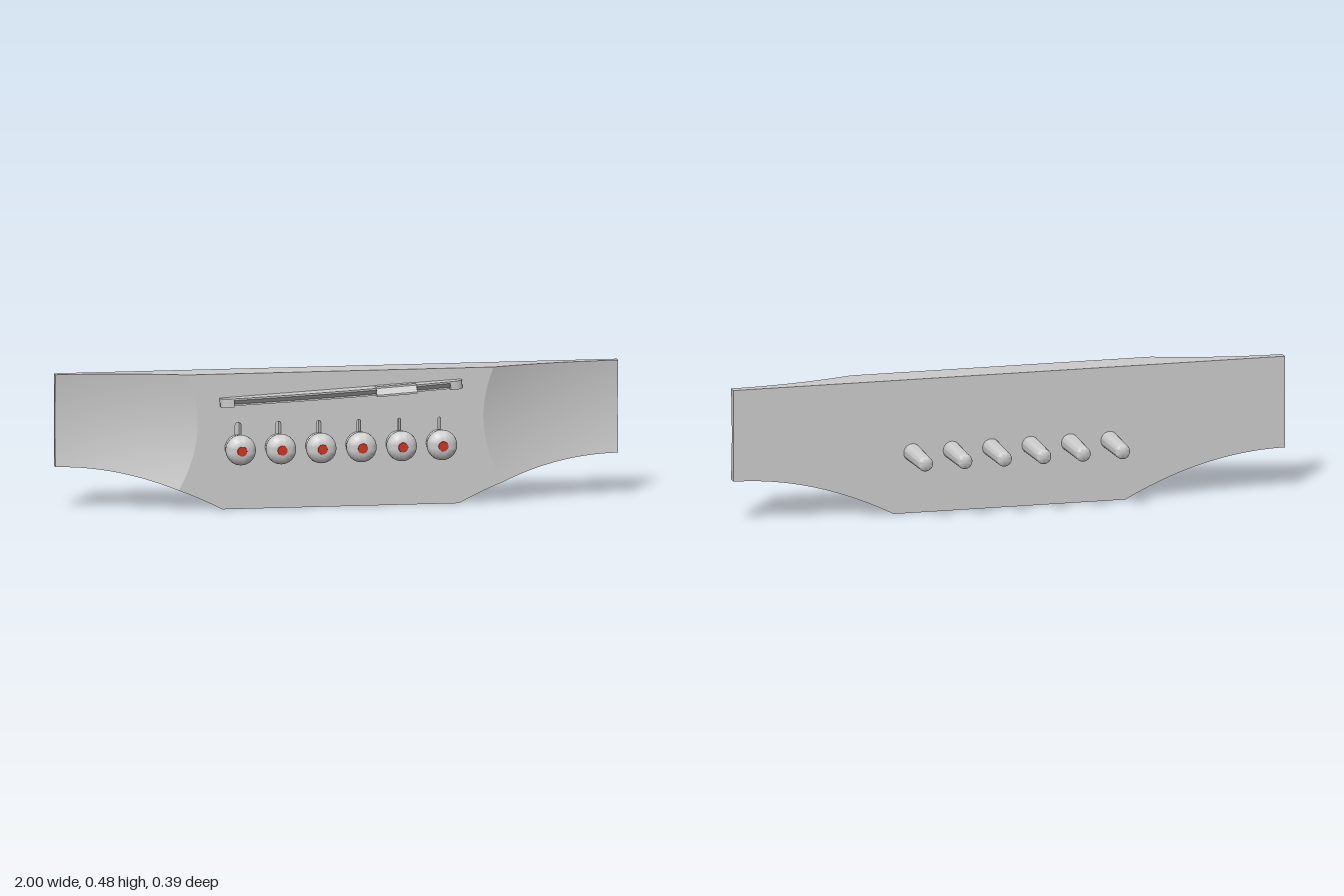
import * as THREE from 'three';
import { toCreasedNormals } from 'three/addons/utils/BufferGeometryUtils.js';

const FACE = 0.105, TOP = 0.483, ROWS = 14;
const grey = new THREE.MeshStandardMaterial({ color: 0xcccccc });
const red = new THREE.MeshStandardMaterial({ color: 0xd03020 });

function add(parent, name, geometry, material = grey) {
  const mesh = new THREE.Mesh(geometry, material);
  mesh.name = name;
  parent.add(mesh);
  return mesh;
}

// Skin over cross-sections ordered along +x; each runs up the front, then down the back.
function loft(rings, crease, skip = () => false) {
  const n = rings[0].length, index = [];
  const quad = (a, b, c, d) => index.push(a, b, c, a, c, d);
  for (let i = 0; i < rings.length - 1; i++) {
    for (let j = 0; j < n; j++) {
      if (skip(i, j)) continue;
      const k = (j + 1) % n, a = i * n, b = a + n;
      quad(a + j, b + j, b + k, a + k);
    }
  }
  const e = (rings.length - 1) * n;
  for (let j = 0; j < n / 2 - 1; j++) {
    quad(j, j + 1, n - 2 - j, n - 1 - j);
    quad(e + n - 1 - j, e + n - 2 - j, e + j + 1, e + j);
  }
  const g = new THREE.BufferGeometry();
  g.setAttribute('position', new THREE.Float32BufferAttribute(rings.flat(2), 3));
  g.setIndex(index);
  return toCreasedNormals(g, crease);
}

// Lower edge of the plate, and the curved line where the scooped wing begins
const lowerEdge = (x) => x <= 0.42 ? 0.003 : 0.155 - 0.152 * ((1 - x) / 0.58) ** 2;
const wingStart = (y) => 0.508 + 1.2 * (y - 0.31) ** 2;

// One plate section; s in 0..1 is the flat shoulder, 1..2 the scooped wing
function plateRing(s, side) {
  const front = [], back = [];
  for (let r = 0; r <= ROWS; r++) {
    const v = r / ROWS;
    let x = 0.42, y = 0;
    for (let k = 0; k < 10; k++) {
      y = THREE.MathUtils.lerp(lowerEdge(x), TOP, v);
      const w = wingStart(y);
      x = s <= 1 ? THREE.MathUtils.lerp(0.42, w, s) : THREE.MathUtils.lerp(w, 1, s - 1);
    }
    const tip = 0.014 + 0.4 * (y - 0.32) ** 2;
    const z = s <= 1 ? FACE : tip + (FACE - tip) * (2 - s) ** 2;
    front.push([side * x, y, z]);
    back.unshift([side * x, y, -0.012 + 0.008 * y]);
  }
  return [...front, ...back];
}

// Capsule outline of a string slot
function slotShape(x, halfWidth) {
  const s = new THREE.Shape();
  s.moveTo(x - halfWidth, 0.23);
  s.lineTo(x + halfWidth, 0.23);
  s.lineTo(x + halfWidth, 0.31 - halfWidth);
  s.absarc(x, 0.31 - halfWidth, halfWidth, 0, Math.PI, false);
  s.closePath();
  return s;
}

function buildPlate(slots) {
  const plate = new THREE.Group();
  plate.name = 'bridgePlate';
  const steps = [];
  for (let i = 0; i <= 4; i++) steps.push(i / 4);
  for (let i = 1; i <= 16; i++) steps.push(1 + i / 16);
  const rings = [
    ...[...steps].reverse().map((s) => plateRing(s, -1)),
    ...steps.map((s) => plateRing(s, 1)),
  ];
  const first = 16, last = rings.length - 17;
  add(plate, 'plateBody', loft(rings, 0.22, (i, j) => i >= first && i < last && j < ROWS));

  // Flat front face, cut through by the string slots
  const mid = rings.slice(first, last + 1);
  const outline = [
    ...mid.map((r) => r[0]),
    ...mid[mid.length - 1].slice(1, ROWS + 1),
    ...mid.slice(0, -1).reverse().map((r) => r[ROWS]),
    ...mid[0].slice(1, ROWS).reverse(),
  ];
  const face = new THREE.Shape(outline.map((p) => new THREE.Vector2(p[0], p[1])));
  face.holes.push(...slots);
  add(plate, 'plateFace', new THREE.ShapeGeometry(face, 6)).position.z = FACE;

  // Inward-facing pockets behind the slots
  for (const s of slots) {
    const g = new THREE.ExtrudeGeometry(s, { depth: 0.05, bevelEnabled: false, curveSegments: 6 });
    g.scale(1, 1, -1);
    g.computeVertexNormals();
    add(plate, 'stringSlot', g).position.z = FACE;
  }
  return plate;
}

// Tilted saddle: bevelled crest, one reversed section, rounded ends
function buildSaddle() {
  const saddle = new THREE.Group();
  saddle.name = 'saddle';
  const crest = (x) => 0.166 - 0.13 * x * x;
  const piece = (name, x0, x1, steps, half, low, high) => {
    const rings = [];
    for (let i = 0; i <= steps; i++) {
      const x = THREE.MathUtils.lerp(x0, x1, i / steps);
      const a = low(x), b = high(x), lip = half * 0.6;
      rings.push([
        [x, -half, 0.09], [x, -half, a], [x, -lip, a],
        [x, lip, b], [x, half, b], [x, half, 0.09],
      ]);
    }
    add(saddle, name, loft(rings, 0.3));
  };
  const dip = (x) => crest(x) - 0.028;
  const end = (x) => 0.122 + 0.024 * Math.sqrt(Math.max(0, 1 - ((Math.abs(x) - 0.385) / 0.045) ** 2));
  piece('saddleEnd', -0.43, -0.385, 8, 0.015, end, end);
  piece('saddleCrest', -0.385, 0.12, 14, 0.015, dip, crest);
  piece('saddleReversedCrest', 0.12, 0.265, 5, 0.016, crest, dip);
  piece('saddleCrest', 0.265, 0.385, 5, 0.015, dip, crest);
  piece('saddleEnd', 0.385, 0.43, 8, 0.015, end, end);
  saddle.position.y = 0.406;
  saddle.rotation.z = 0.053;
  return saddle;
}

// Turned pin: tapered shaft through the plate, collar, neck and ball head
function buildPin() {
  const pin = new THREE.Group();
  pin.name = 'bridgePin';
  const profile = [
    [0, -0.197], [0.021, -0.197], [0.025, -0.194], [0.0268, -0.188],
    [0.032, 0], [0.033, 0.1], [0.047, 0.1], [0.0475, 0.112], [0.045, 0.116],
    [0.038, 0.119], [0.0345, 0.125], [0.035, 0.131], [0.041, 0.134], [0.048, 0.139],
    [0.0525, 0.148], [0.0535, 0.16], [0.052, 0.172], [0.047, 0.182],
    [0.038, 0.189], [0.025, 0.1935], [0.012, 0.1955], [0, 0.196],
  ].map(([r, z]) => new THREE.Vector2(r, z));
  const turned = toCreasedNormals(new THREE.LatheGeometry(profile, 32).rotateX(Math.PI / 2), 0.75);
  add(pin, 'pinBody', turned);
  // Inlaid dot
  const dot = new THREE.CylinderGeometry(0.017, 0.018, 0.006, 24).rotateX(Math.PI / 2);
  add(pin, 'pinDot', dot, red).position.z = 0.195;
  return pin;
}

export function createModel() {
  const model = new THREE.Group();
  model.name = 'guitarBridge';
  const pinX = Array.from({ length: 6 }, (_, i) => -0.364 + i * 0.143);
  // Slots narrow from the thick strings to the thin ones
  model.add(buildPlate(pinX.map((x, i) => slotShape(x, 0.0105 - i * 0.0013))));
  model.add(buildSaddle());
  for (const x of pinX) {
    const pin = buildPin();
    pin.position.set(x, 0.22, 0);
    model.add(pin);
  }
  return model;
}
